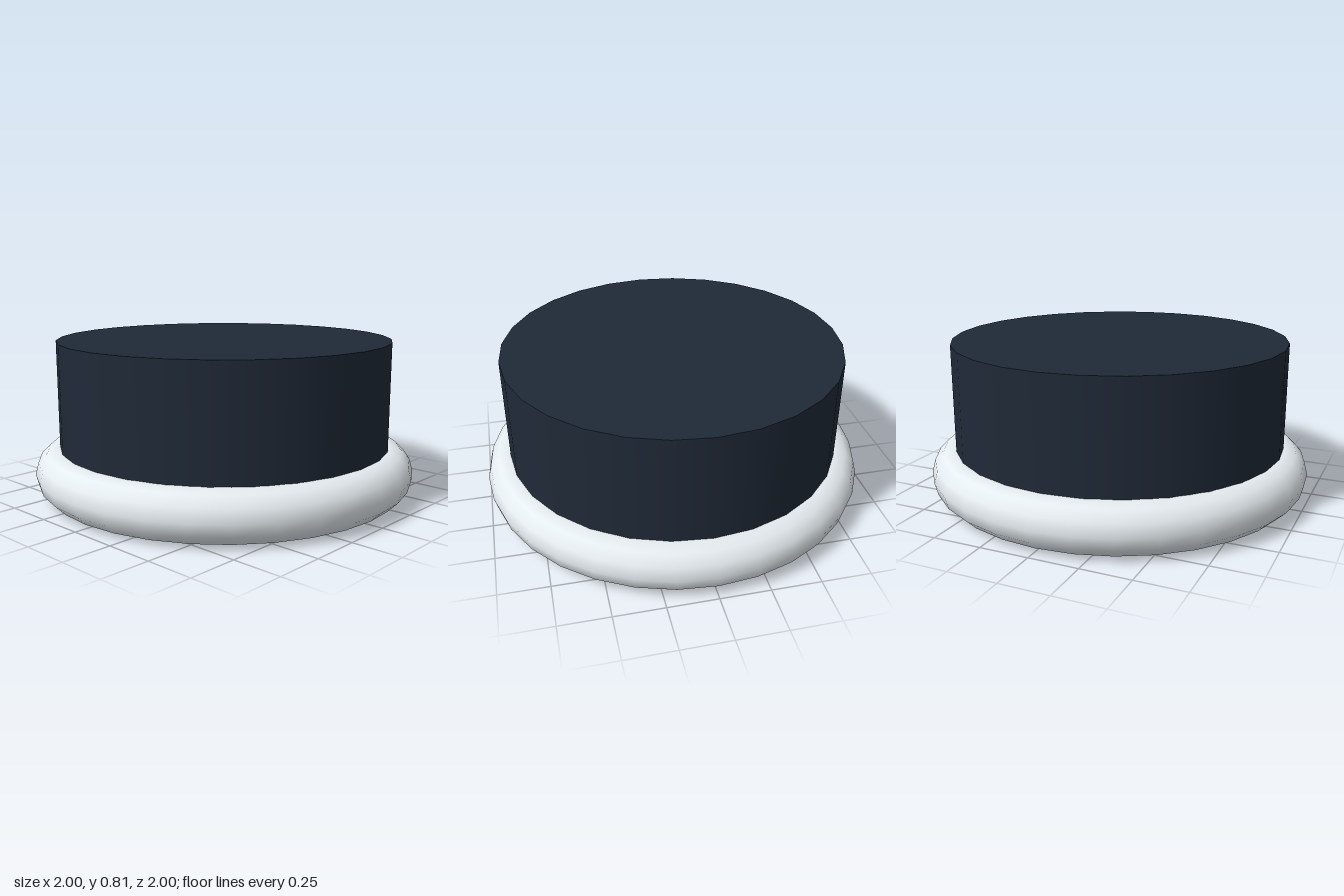
import * as THREE from 'three';

const RING_RADIUS = 0.872;
const TUBE = 0.128;

function disc(name, radius, bottom, top, segments, color) {
  const mesh = new THREE.Mesh(
    new THREE.CylinderGeometry(radius, radius, top - bottom, segments),
    new THREE.MeshStandardMaterial({ color })
  );
  mesh.position.y = (bottom + top) / 2;
  mesh.name = name;
  return mesh;
}

export function createModel() {
  const model = new THREE.Group();
  model.name = 'roundCap';

  // Rounded ring around the open lower edge
  const ring = new THREE.Mesh(
    new THREE.TorusGeometry(RING_RADIUS, TUBE, 12, 32),
    new THREE.MeshStandardMaterial({ color: 0xe5ecf0 })
  );
  ring.rotation.x = Math.PI / 2;
  ring.position.y = TUBE;
  ring.name = 'rimRing';
  model.add(ring);

  // Dark drum rising from the ring
  model.add(disc('drum', 0.872, 0.145, 0.81, 28, 0x1f2937));

  // Pale pad under the drum, inside the ring
  model.add(disc('bottomPad', 0.58, 0.038, 0.15, 28, 0xfdeec6));

  return model;
}
